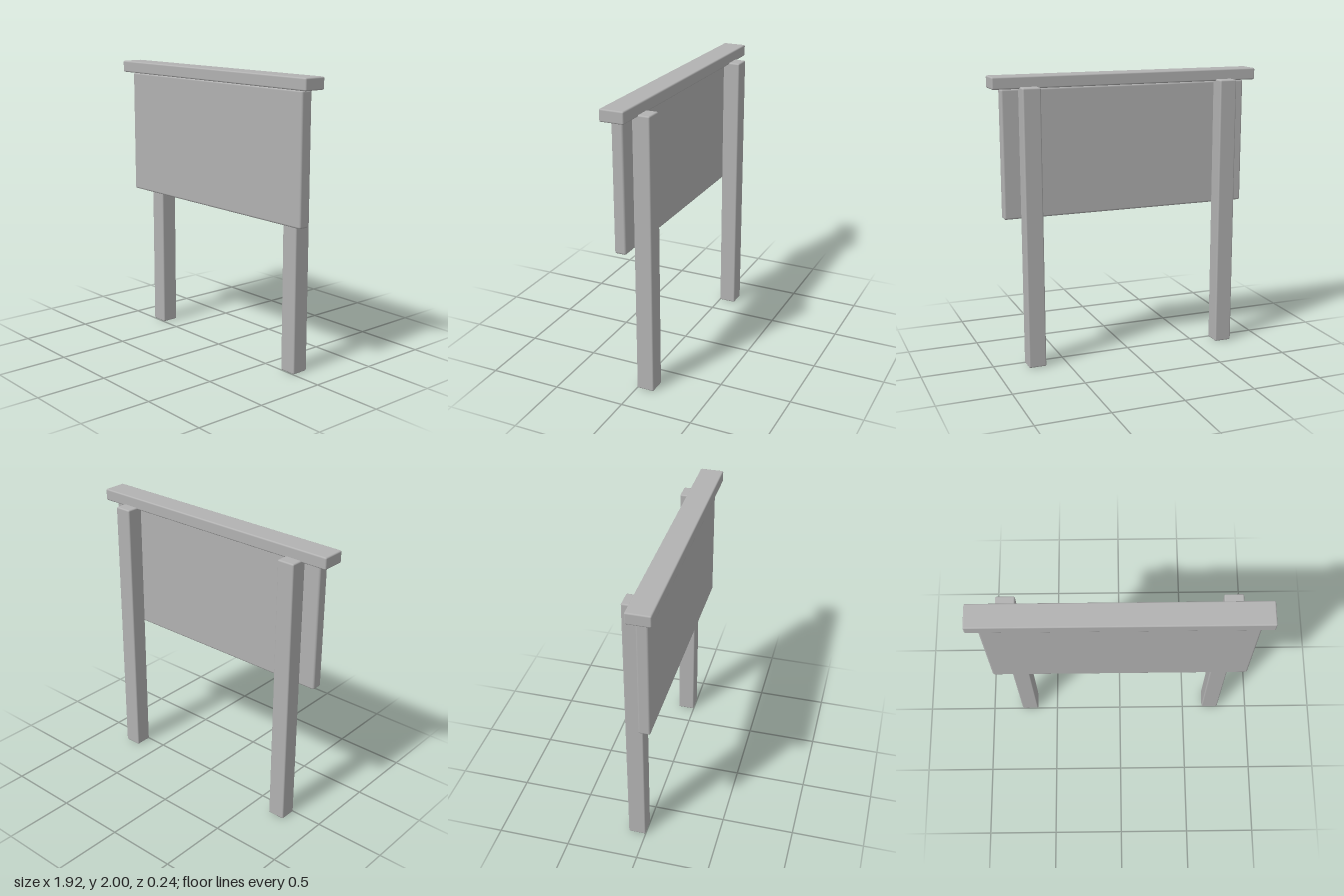
import * as THREE from 'three';
import { RoundedBoxGeometry } from 'three/addons/geometries/RoundedBoxGeometry.js';

const grey = new THREE.MeshStandardMaterial({ color: 0xb2b2b2 });
grey.name = 'grey';

// Softly bevelled board spanning two opposite corners
function board(name, min, max, bevel = 0.01) {
  const size = max.map((v, i) => v - min[i]);
  const mesh = new THREE.Mesh(new RoundedBoxGeometry(...size, 2, bevel), grey);
  mesh.position.set(...min.map((v, i) => (v + max[i]) / 2));
  mesh.name = name;
  return mesh;
}

export function createModel() {
  const sign = new THREE.Group();
  sign.name = 'signBoard';

  // Upright posts behind the panel
  for (const [side, x] of [['left', 0.714], ['right', -0.714]]) {
    sign.add(board(side + 'Post', [x - 0.062, 0, -0.122], [x + 0.062, 1.93, 0]));
  }

  // Display panel fixed to the front of the posts
  sign.add(board('panel', [-0.89, 1.035, 0], [0.89, 1.916, 0.081], 0.014));

  // Cap rail along the top
  sign.add(board('capRail', [-0.96, 1.918, -0.044], [0.96, 2, 0.122]));

  return sign;
}
